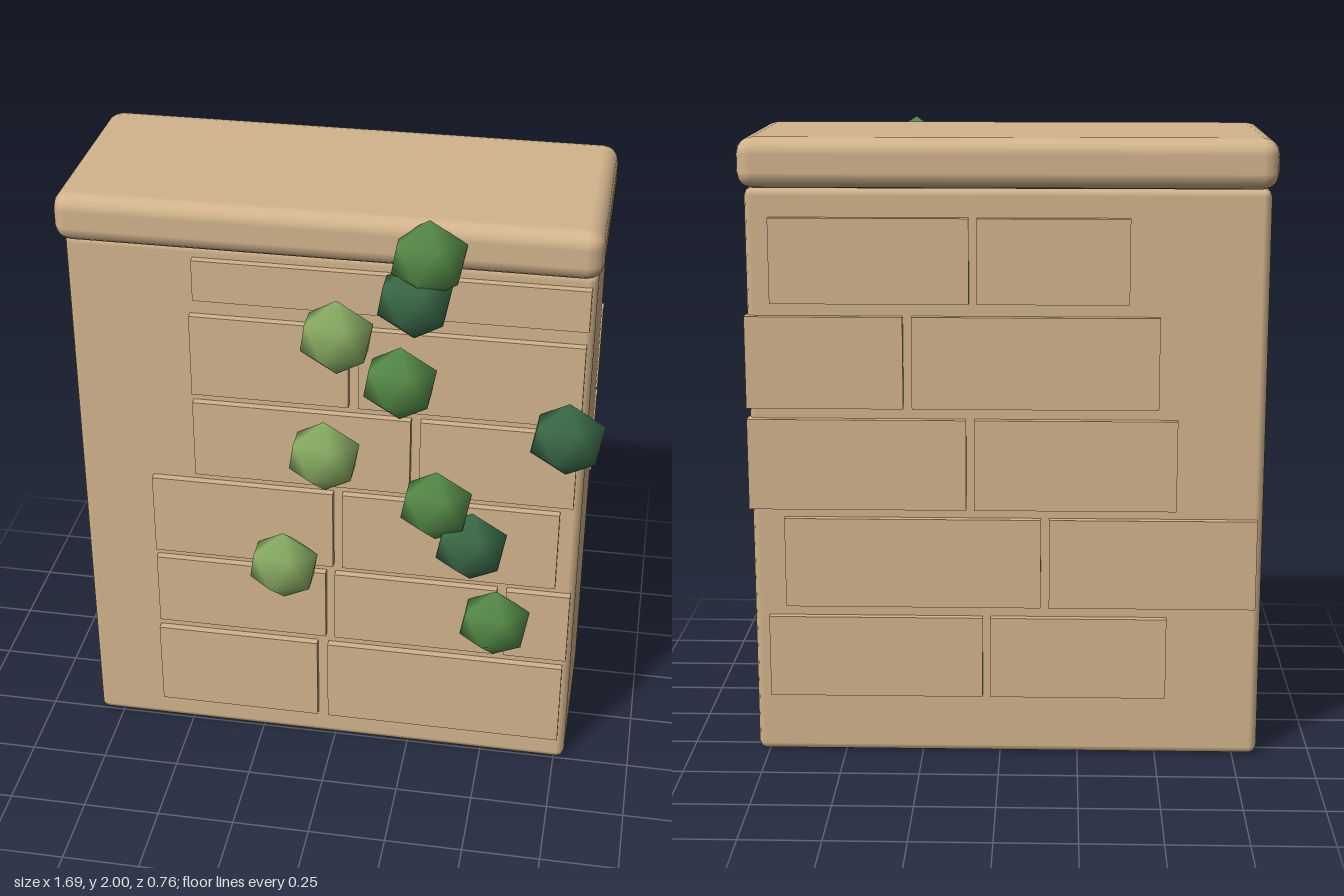
import * as THREE from 'three';
import { mergeVertices } from 'three/addons/utils/BufferGeometryUtils.js';
import { RoundedBoxGeometry } from 'three/addons/geometries/RoundedBoxGeometry.js';

const material = (name, color) => {
  const m = new THREE.MeshStandardMaterial({ color });
  m.name = name;
  return m;
};

// Leaf clump: an upright, smooth-shaded icosahedron squashed front to back
function leafGeometry() {
  let g = new THREE.IcosahedronGeometry(0.125, 0);
  g.rotateX(-Math.atan((1 + Math.sqrt(5)) / 2)).rotateY(Math.PI / 2);
  g.scale(1, 1, 0.61);
  g.deleteAttribute('normal');
  g.deleteAttribute('uv');
  g = mergeVertices(g, 1e-4);
  g.computeVertexNormals();
  return g;
}

export function createModel() {
  const model = new THREE.Group();
  model.name = 'ivyWall';
  const stone = material('sandstone', 0xd2b48c);
  const greens = {
    light: material('lightLeaf', 0x8aae64),
    mid: material('midLeaf', 0x568b48),
    dark: material('darkLeaf', 0x3b6b48),
  };

  const add = (parent, name, geometry, mat, x, y, z) => {
    const mesh = new THREE.Mesh(geometry, mat);
    mesh.name = name;
    mesh.position.set(x, y, z);
    parent.add(mesh);
  };

  // Wall slab and overhanging coping stone
  add(model, 'wallBody', new RoundedBoxGeometry(1.615, 1.83, 0.57, 1, 0.025), stone, -0.0225, 0.915, -0.03);
  add(model, 'copingStone', new RoundedBoxGeometry(1.645, 0.155, 0.695, 2, 0.05), stone, -0.0225, 1.908, -0.0325);

  // Raised bricks: each row is [bottom, top, [left, right], ...]
  const frontRows = [
    [0.10, 0.40, [-0.595, -0.055], [-0.02, 0.76]],
    [0.435, 0.69, [-0.59, -0.025], [0.005, 0.535], [0.565, 0.77]],
    [0.72, 1.0, [-0.59, 0], [0.03, 0.72]],
    [1.03, 1.295, [-0.445, 0.245], [0.275, 0.76]],
    [1.325, 1.6, [-0.445, 0.05], [0.08, 0.765]],
    [1.655, 1.79, [-0.43, 0.77]],
  ];
  const backRows = [
    [0.20, 0.465, [0.055, 0.736], [-0.53, 0.03]],
    [0.50, 0.79, [-0.13, 0.68], [-0.81, -0.156]],
    [0.82, 1.11, [0.105, 0.79], [-0.555, 0.08]],
    [1.145, 1.435, [0.30, 0.79], [-0.495, 0.273]],
    [1.475, 1.74, [0.095, 0.71], [-0.4, 0.07]],
  ];
  const addBricks = (name, rows, z) => {
    const group = new THREE.Group();
    group.name = name;
    for (const [y0, y1, ...spans] of rows)
      for (const [x0, x1] of spans)
        add(group, 'brick', new THREE.BoxGeometry(x1 - x0, y1 - y0, 0.05), stone, (x0 + x1) / 2, (y0 + y1) / 2, z);
    model.add(group);
  };
  addBricks('frontBricks', frontRows, 0.255);
  addBricks('backBricks', backRows, -0.315);

  // Ivy climbing the front
  const ivy = new THREE.Group();
  ivy.name = 'ivy';
  const leaf = leafGeometry();
  const leaves = [
    ['mid', 0.295, 1.875], ['dark', 0.255, 1.735], ['light', 0.02, 1.59],
    ['mid', 0.215, 1.45], ['dark', 0.73, 1.305], ['light', -0.02, 1.165],
    ['mid', 0.335, 1.02], ['dark', 0.45, 0.88], ['light', -0.155, 0.735],
    ['mid', 0.535, 0.59],
  ];
  for (const [tone, x, y] of leaves) add(ivy, 'ivyLeaf', leaf, greens[tone], x, y, 0.318);
  model.add(ivy);

  return model;
}
